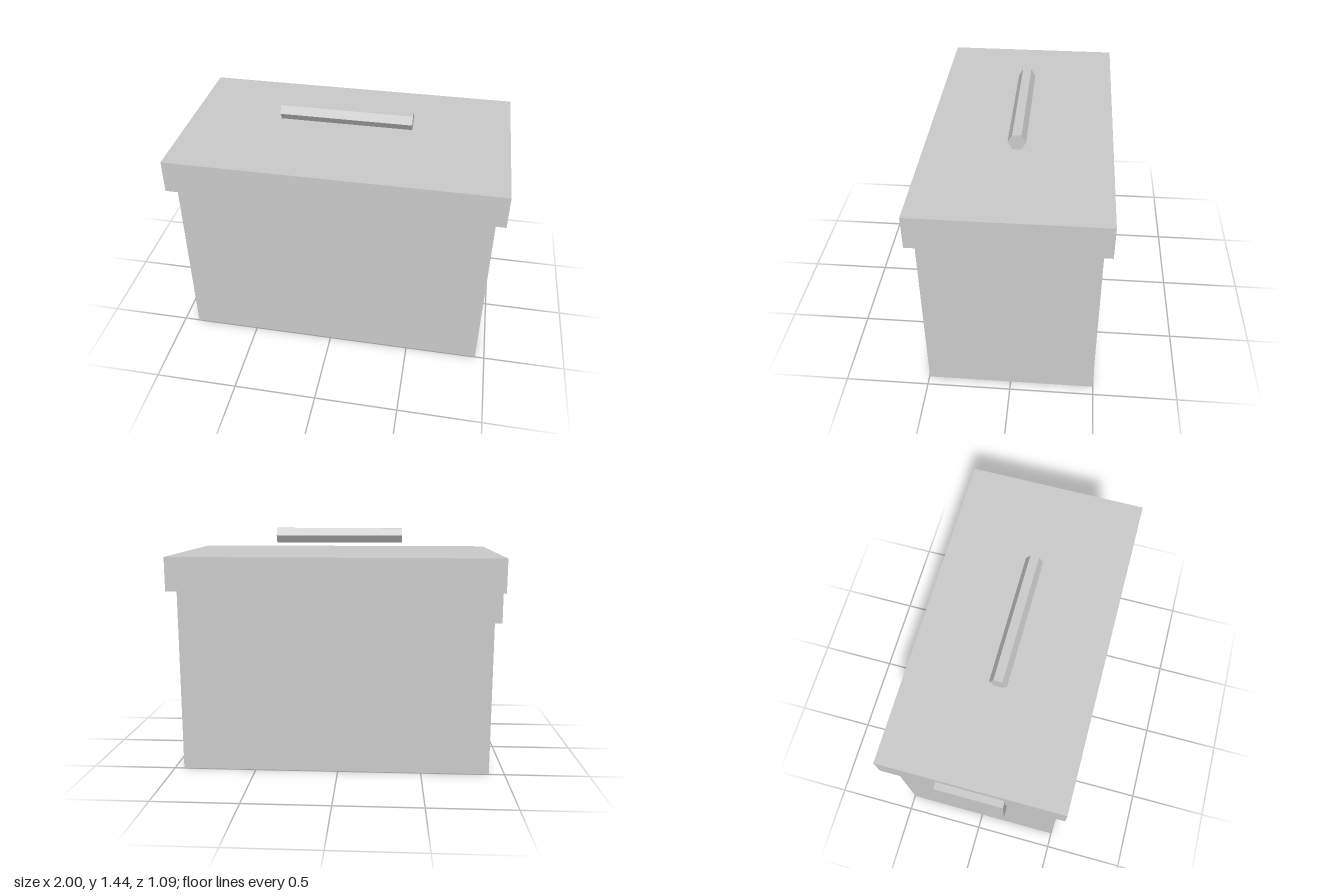
import * as THREE from 'three';

export function createModel() {
  const group = new THREE.Group();
  const paint = new THREE.MeshStandardMaterial({ color: 0xcccccc });
  paint.name = 'light grey';
  paint.flatShading = true;

  const add = (name, geometry) => {
    const mesh = new THREE.Mesh(geometry, paint);
    mesh.name = name;
    group.add(mesh);
    return mesh;
  };

  // Box given by its x and y limits, centred on z = 0
  const addBox = (name, x0, x1, y0, y1, depth) =>
    add(name, new THREE.BoxGeometry(x1 - x0, y1 - y0, depth))
      .position.set((x0 + x1) / 2, (y0 + y1) / 2, 0);

  addBox('body', -0.907, 0.943, 0, 1.095, 0.995);
  addBox('lid', -0.96, 0.997, 1.095, 1.293, 1.085);

  // Latch plate on the right end, overlapping the lid rim
  addBox('latch', -1, -0.907, 0.865, 1.23, 0.395);

  // Six-sided carrying bar held just above the lid
  const bar = new THREE.CylinderGeometry(0.052, 0.052, 0.793, 6);
  bar.rotateZ(Math.PI / 2);
  add('handle', bar).position.set(0.018, 1.394, 0);

  return group;
}
